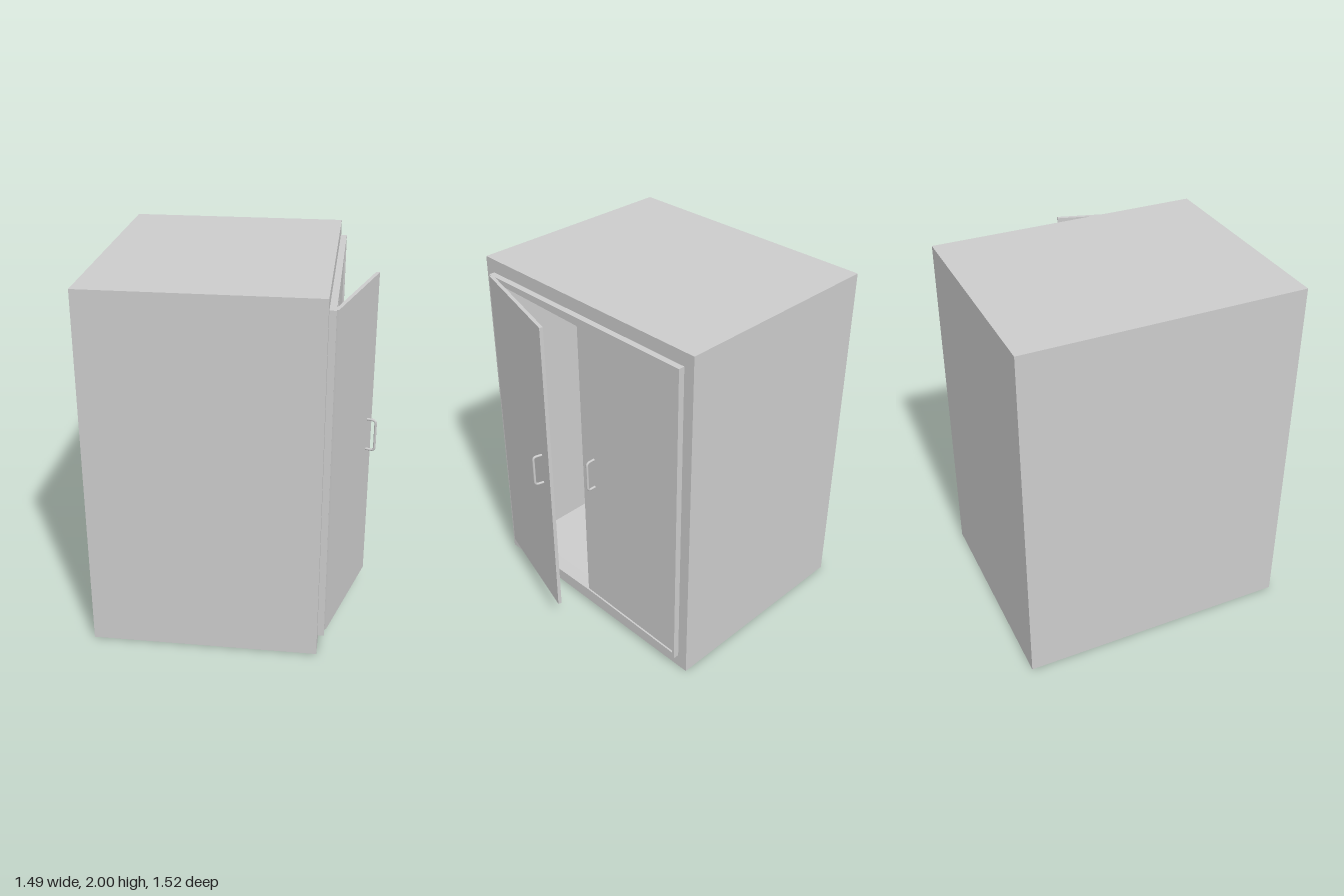
import * as THREE from 'three';

const material = new THREE.MeshStandardMaterial({ color: 0xcccccc });

function add(parent, name, geometry, x = 0, y = 0, z = 0) {
  const mesh = new THREE.Mesh(geometry, material);
  mesh.name = name;
  mesh.position.set(x, y, z);
  parent.add(mesh);
  return mesh;
}

// Panel facing +x with the doorway cut out
function doorwayPanel(halfWidth, bottom, top, depth) {
  const shape = new THREE.Shape([
    new THREE.Vector2(-halfWidth, bottom), new THREE.Vector2(halfWidth, bottom),
    new THREE.Vector2(halfWidth, top), new THREE.Vector2(-halfWidth, top),
  ]);
  // The doorway narrows very slightly towards the middle
  shape.holes.push(new THREE.Path([
    new THREE.Vector2(-0.685, 0.115), new THREE.Vector2(-0.685, 1.895),
    new THREE.Vector2(0, 1.88), new THREE.Vector2(0.685, 1.895),
    new THREE.Vector2(0.685, 0.115), new THREE.Vector2(0, 0.13),
  ]));
  return new THREE.ExtrudeGeometry(shape, { depth, bevelEnabled: false }).rotateY(Math.PI / 2);
}

// Bent bar handle standing out along +x
function handleGeometry() {
  const h = 0.09, d = 0.05, r = 0.02;
  const v = (x, y) => new THREE.Vector3(x, y, 0);
  const path = new THREE.CurvePath();
  path.add(new THREE.LineCurve3(v(-0.005, -h), v(d - r, -h)));
  path.add(new THREE.QuadraticBezierCurve3(v(d - r, -h), v(d, -h), v(d, r - h)));
  path.add(new THREE.LineCurve3(v(d, r - h), v(d, h - r)));
  path.add(new THREE.QuadraticBezierCurve3(v(d, h - r), v(d, h), v(d - r, h)));
  path.add(new THREE.LineCurve3(v(d - r, h), v(-0.005, h)));
  return new THREE.TubeGeometry(path, 64, 0.007, 10, false);
}

// Door hinged at its local origin; side is the z direction towards its free edge
function makeDoor(name, side, bottom, top, width) {
  const door = new THREE.Group();
  door.name = name;
  add(door, name + 'Panel', new THREE.BoxGeometry(0.02, top - bottom, width),
    -0.01, (top + bottom) / 2, side * width / 2);
  add(door, name + 'Handle', handleGeometry(), 0, (top + bottom) / 2 + 0.012, side * (width - 0.09));
  return door;
}

export function createModel() {
  const model = new THREE.Group();
  model.name = 'cabinet';

  // Hollow body
  const x0 = -0.745, x1 = 0.48, t = 0.045, hz = 0.76;
  const depth = x1 - x0 - t, cx = (x0 + x1 - t) / 2;
  add(model, 'floor', new THREE.BoxGeometry(depth, t, hz * 2), cx, t / 2, 0);
  add(model, 'roof', new THREE.BoxGeometry(depth, t, hz * 2), cx, 2 - t / 2, 0);
  for (const s of [-1, 1]) {
    add(model, s > 0 ? 'frontWall' : 'rearWall',
      new THREE.BoxGeometry(depth, 2 - 2 * t, t), cx, 1, s * (hz - t / 2));
  }
  add(model, 'backWall', new THREE.BoxGeometry(t, 2 - 2 * t, 2 * (hz - t)), x0 + t / 2, 1, 0);
  add(model, 'doorWall', doorwayPanel(hz, 0, 2, t), x1 - t, 0, 0);

  // Raised frame around the doorway
  add(model, 'doorFrame', doorwayPanel(0.70, 0.08, 1.925, 0.035), x1, 0, 0);

  // Closed door
  const closed = makeDoor('closedDoor', 1, 0.115, 1.895, 0.693);
  closed.position.set(0.505, 0, -0.683);
  model.add(closed);

  // Door standing ajar
  const open = makeDoor('openDoor', -1, 0.115, 1.925, 0.668);
  open.position.set(0.525, 0, 0.687);
  open.rotation.y = -THREE.MathUtils.degToRad(16.2);
  model.add(open);

  return model;
}
